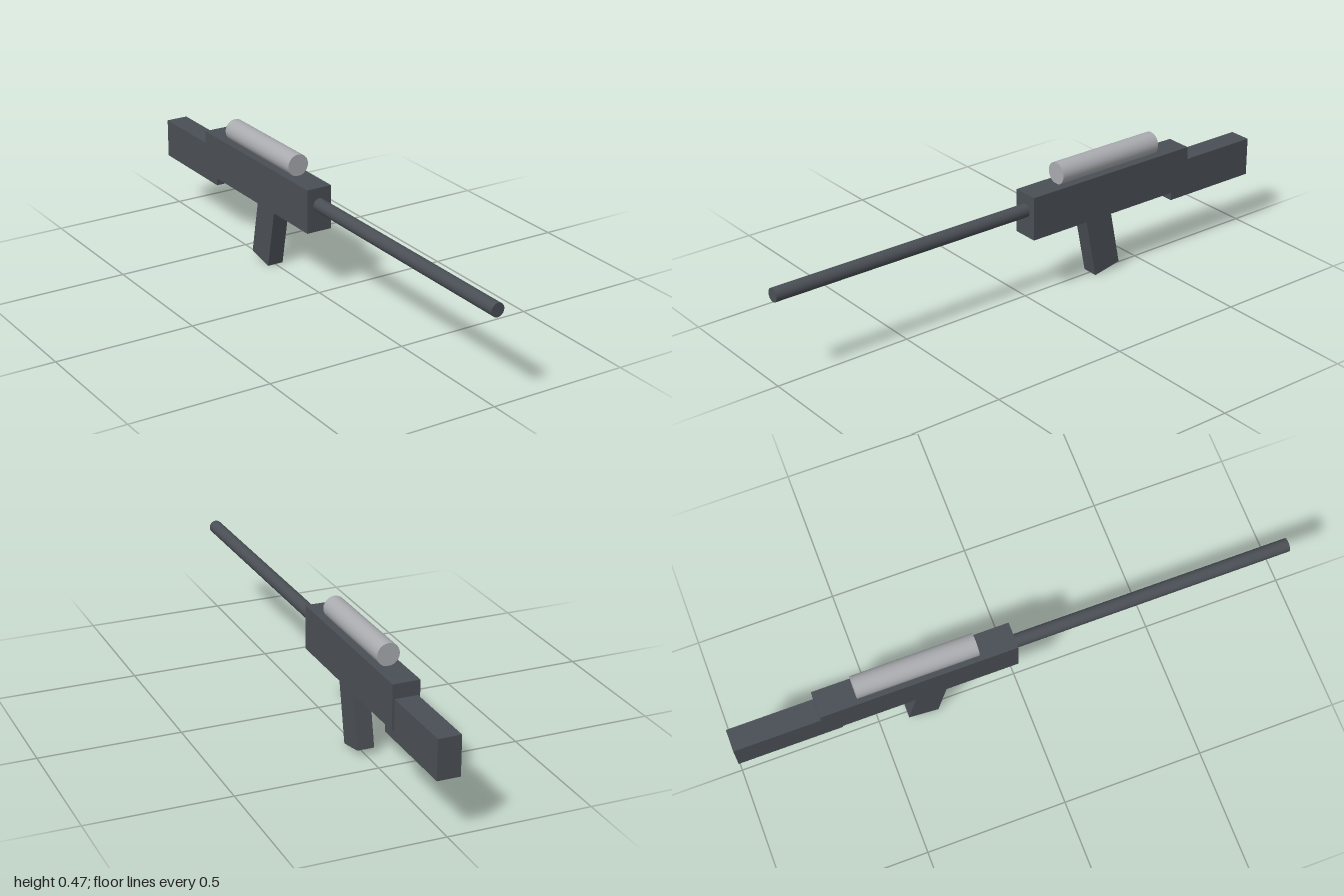
import * as THREE from 'three';

export function createModel() {
  const model = new THREE.Group();
  const gunmetal = new THREE.MeshStandardMaterial({ color: 0x4a4f55 });
  gunmetal.name = 'dark gunmetal';
  const silver = new THREE.MeshStandardMaterial({ color: 0xa9abaf });
  silver.name = 'light silver';

  const add = (name, geometry, material, y, z) => {
    const mesh = new THREE.Mesh(geometry, material);
    mesh.name = name;
    mesh.position.set(0, y, z);
    model.add(mesh);
    return mesh;
  };
  // Cylinder lying along z
  const rod = (radius, length) =>
    new THREE.CylinderGeometry(radius, radius, length, 24).rotateX(Math.PI / 2);

  // Receiver and the stock set into its rear
  add('receiver', new THREE.BoxGeometry(0.095, 0.158, 0.696), gunmetal, 0.309, -0.348);
  add('stock', new THREE.BoxGeometry(0.08, 0.14, 0.37), gunmetal, 0.267, -0.815);

  // Long barrel and the scope resting on top
  add('barrel', rod(0.024, 1.01), gunmetal, 0.326, 0.495);
  add('scope', rod(0.0395, 0.428), silver, 0.426, -0.348);

  // Grip raked backward toward its foot
  const grip = add('grip', new THREE.BoxGeometry(0.06, 0.27, 0.109), gunmetal, 0.143, -0.318);
  grip.rotation.x = 0.2;

  return model;
}
